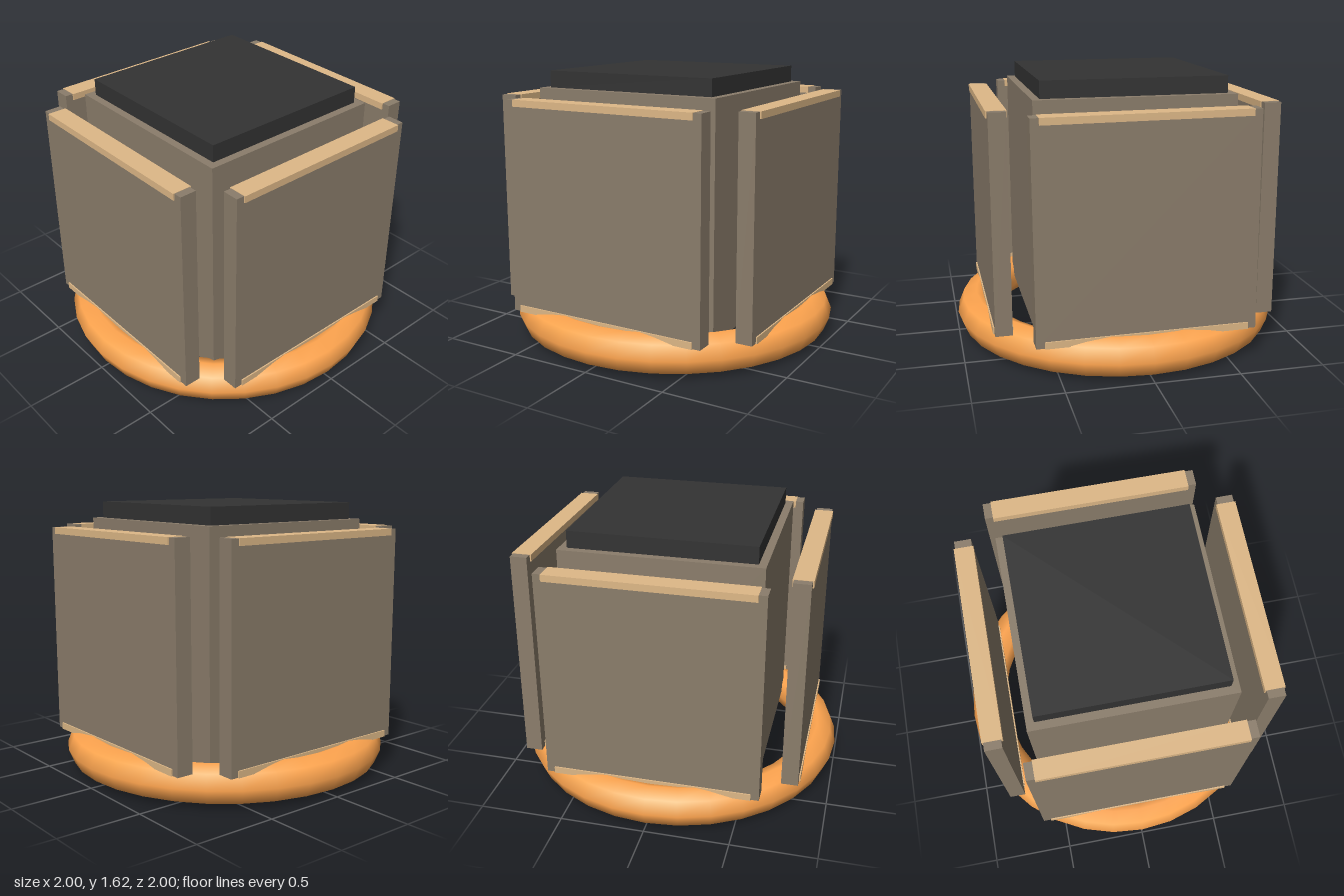
import * as THREE from 'three';

const material = (color) => new THREE.MeshStandardMaterial({ color });

export function createModel() {
  const model = new THREE.Group();
  model.name = 'panelledBoxOnRing';
  const brown = material(0x8b7d6b);
  const tan = material(0xdeb887);
  const orange = material(0xffa54f);
  const dark = material(0x333333);

  const addBox = (parent, name, mat, size, y, z = 0) => {
    const mesh = new THREE.Mesh(new THREE.BoxGeometry(...size), mat);
    mesh.name = name;
    mesh.position.set(0, y, z);
    parent.add(mesh);
    return mesh;
  };

  // Base ring lying flat on the ground
  const ring = new THREE.Mesh(new THREE.TorusGeometry(0.882, 0.118, 8, 32), orange);
  ring.name = 'baseRing';
  ring.rotation.x = Math.PI / 2;
  ring.position.y = 0.118;
  model.add(ring);

  // Central body and its dark lid
  addBox(model, 'body', brown, [1.172, 1.37, 1.172], 0.835);
  addBox(model, 'lid', dark, [1.08, 0.1, 1.08], 1.57);

  // Four free-standing side panels, each with a trim strip at top and bottom
  const panels = [
    { name: 'frontPanel', turn: 0, distance: 0.782 },
    { name: 'leftPanel', turn: 1, distance: 0.797, tilt: -0.006 },
    { name: 'backPanel', turn: 2, distance: 0.779 },
    { name: 'rightPanel', turn: 3, distance: 0.785 },
  ];
  for (const { name, turn, distance, tilt = 0 } of panels) {
    const side = new THREE.Group();
    side.name = name;
    side.rotation.y = turn * Math.PI / 2;

    const panel = new THREE.Group();
    panel.position.set(0, 0.836, distance);
    panel.rotation.z = -tilt;
    addBox(panel, name + 'Board', brown, [1.27, 1.27, 0.099], 0);
    addBox(panel, name + 'TopTrim', tan, [1.175, 0.04, 0.115], 0.617);
    addBox(panel, name + 'BottomTrim', tan, [1.175, 0.04, 0.115], -0.617);
    side.add(panel);
    model.add(side);
  }

  return model;
}
